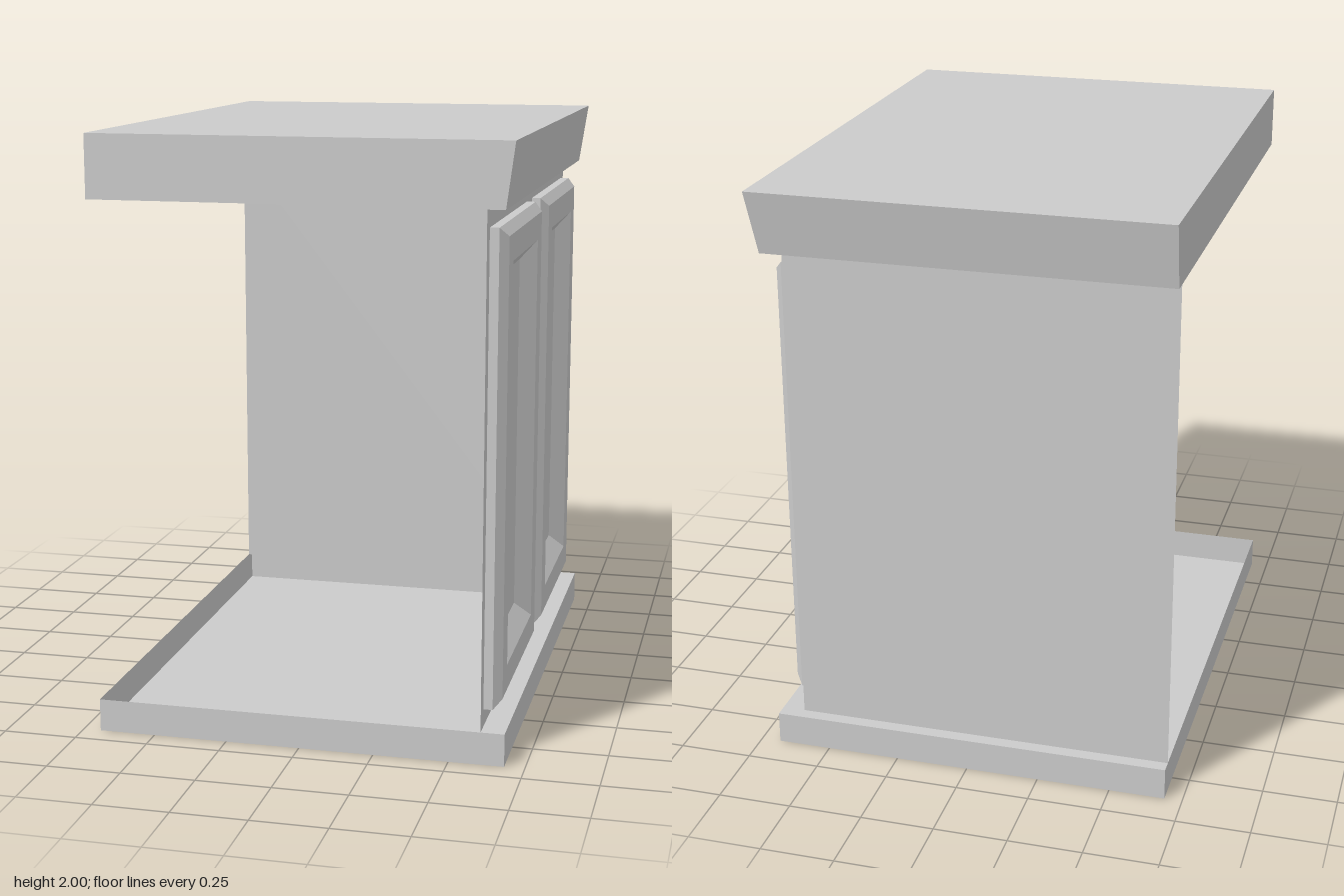
import * as THREE from 'three';

const LEFT = -0.69, FRONT = 0.92;      // the two cut sides of the cabinet
const WALL_X = 0.605, WALL_Z = -0.835; // the two panelled sides

const material = new THREE.MeshStandardMaterial({
  color: 0xcccccc, flatShading: true, side: THREE.DoubleSide,
});

// Joins successive point loops with quads; optional caps close four-point ends.
function loft(name, loops, { closed = true, capStart = false, capEnd = false } = {}) {
  const pos = [];
  const quad = (a, b, c, d) => pos.push(...a, ...b, ...c, ...a, ...c, ...d);
  for (let i = 0; i < loops.length - 1; i++) {
    const lo = loops[i], hi = loops[i + 1], n = lo.length;
    for (let j = 0; j < (closed ? n : n - 1); j++) {
      const k = (j + 1) % n;
      quad(lo[j], lo[k], hi[k], hi[j]);
    }
  }
  if (capStart) quad(...[...loops[0]].reverse());
  if (capEnd) quad(...loops[loops.length - 1]);
  const geometry = new THREE.BufferGeometry();
  geometry.setAttribute('position', new THREE.Float32BufferAttribute(pos, 3));
  geometry.computeVertexNormals();
  const mesh = new THREE.Mesh(geometry, material);
  mesh.name = name;
  return mesh;
}

// Full plan outline at height y, reaching x on the right and z at the back
const outline = (x, z, y) => [[LEFT, y, FRONT], [x, y, FRONT], [x, y, z], [LEFT, y, z]];
// Only the right and back runs of that outline
const corner = (x, z, y) => [[x, y, FRONT], [x, y, z], [LEFT, y, z]];
// Door outline at depth x
const doorRing = (x, z0, z1, y0, y1) => [[x, y0, z0], [x, y0, z1], [x, y1, z1], [x, y1, z0]];

function door(name, zFront, zBack) {
  const y0 = 0.17, y1 = 1.73;
  const ring = (x, inset) =>
    doorRing(x, zFront - inset, zBack + inset, y0 + inset, y1 - inset);
  // straight edge, chamfer, flat frame, sloped recess, sunken panel
  return loft(name, [
    ring(WALL_X, 0), ring(0.635, 0), ring(0.662, 0.029),
    ring(0.662, 0.116), ring(0.61, 0.175),
  ], { capEnd: true });
}

export function createModel() {
  const group = new THREE.Group();
  group.name = 'cornerCabinet';

  // Shallow open tray with its ledge around the walls
  group.add(loft('baseTray',
    [outline(0.683, -0.88, 0), outline(0.683, -0.88, 0.11)], { capStart: true }));
  group.add(loft('baseLedge',
    [corner(0.683, -0.88, 0.11), corner(WALL_X, WALL_Z, 0.11)], { closed: false }));

  // Right and back wall sheets; the other two sides are open
  group.add(loft('walls',
    [corner(WALL_X, WALL_Z, 0.11), corner(WALL_X, WALL_Z, 1.79)], { closed: false }));

  // Countertop flaring out towards the top
  group.add(loft('counterLedge',
    [corner(WALL_X, WALL_Z, 1.79), corner(0.662, -0.88, 1.79)], { closed: false }));
  group.add(loft('countertop',
    [outline(0.662, -0.88, 1.79), outline(0.69, -0.92, 2)], { capEnd: true }));

  // Pair of recessed doors on the right side
  group.add(door('frontDoor', 0.87, 0.108));
  group.add(door('rearDoor', -0.012, -0.774));

  return group;
}
